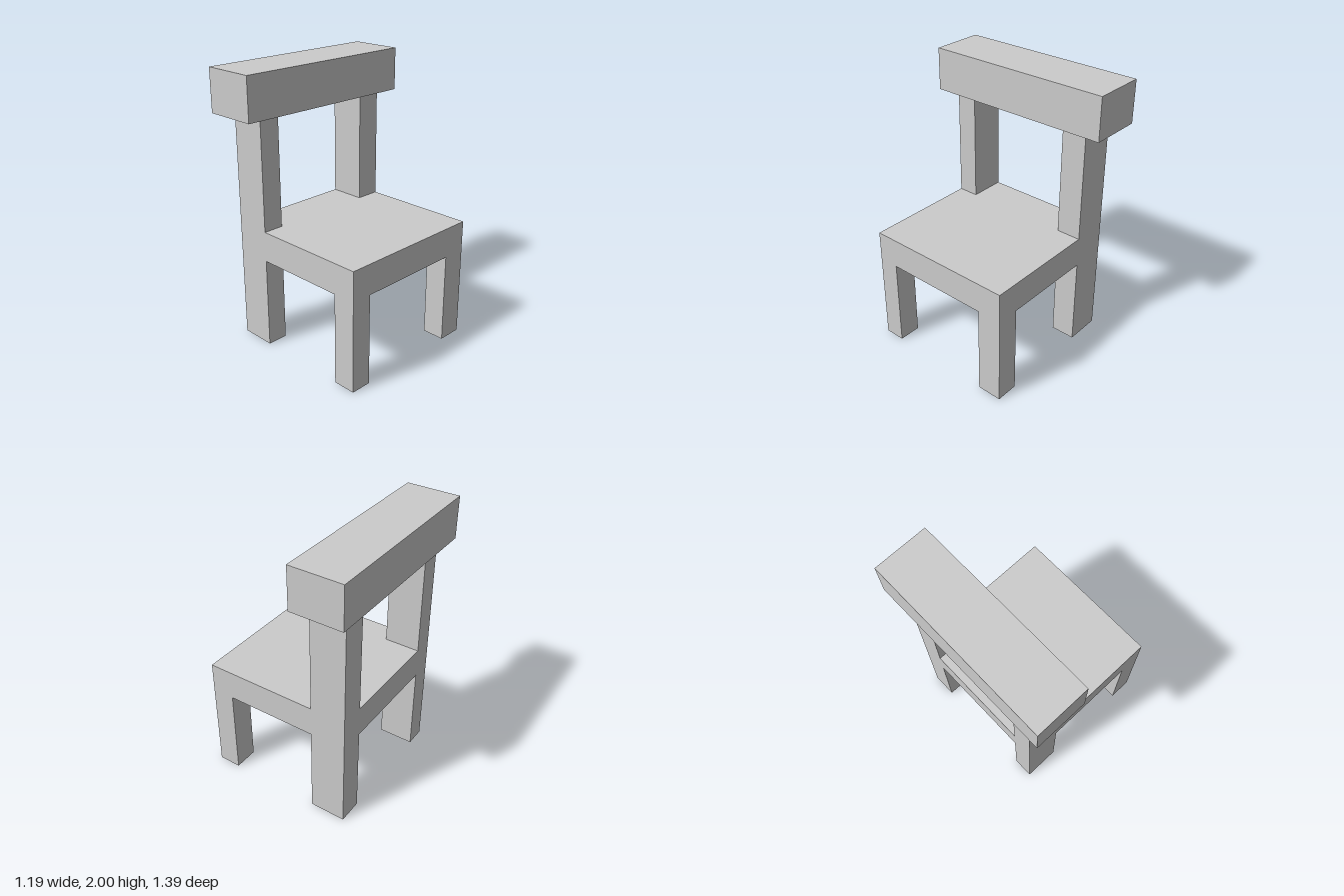
import * as THREE from 'three';

const material = new THREE.MeshStandardMaterial({ color: 0xcccccc, flatShading: true });

// Box given by its [min, max] range on each axis
function block(name, [x0, x1], [y0, y1], [z0, z1]) {
  const mesh = new THREE.Mesh(new THREE.BoxGeometry(x1 - x0, y1 - y0, z1 - z0), material);
  mesh.name = name;
  mesh.position.set((x0 + x1) / 2, (y0 + y1) / 2, (z0 + z1) / 2);
  return mesh;
}

export function createModel() {
  const chair = new THREE.Group();
  chair.name = 'chair';

  const seatY = [0.665, 0.885];
  const railY = [1.69, 2];
  const postX = [-0.525, -0.26];
  const frontLegX = [0.423, 0.59];

  // Seat slab and the wide rail on top of the backrest
  chair.add(block('seat', [postX[0], frontLegX[1]], seatY, [-0.558, 0.558]));
  chair.add(block('topRail', [-0.595, -0.204], railY, [-0.693, 0.693]));

  // Legs and backrest posts; the two sides differ slightly in thickness
  const sides = { Near: [0.406, 0.558], Far: [-0.558, -0.376] };
  for (const [side, z] of Object.entries(sides)) {
    chair.add(block('frontLeg' + side, frontLegX, [0, seatY[0]], z));
    chair.add(block('backLeg' + side, postX, [0, seatY[0]], z));
    chair.add(block('backPost' + side, postX, [seatY[1], railY[0]], z));
  }
  return chair;
}
